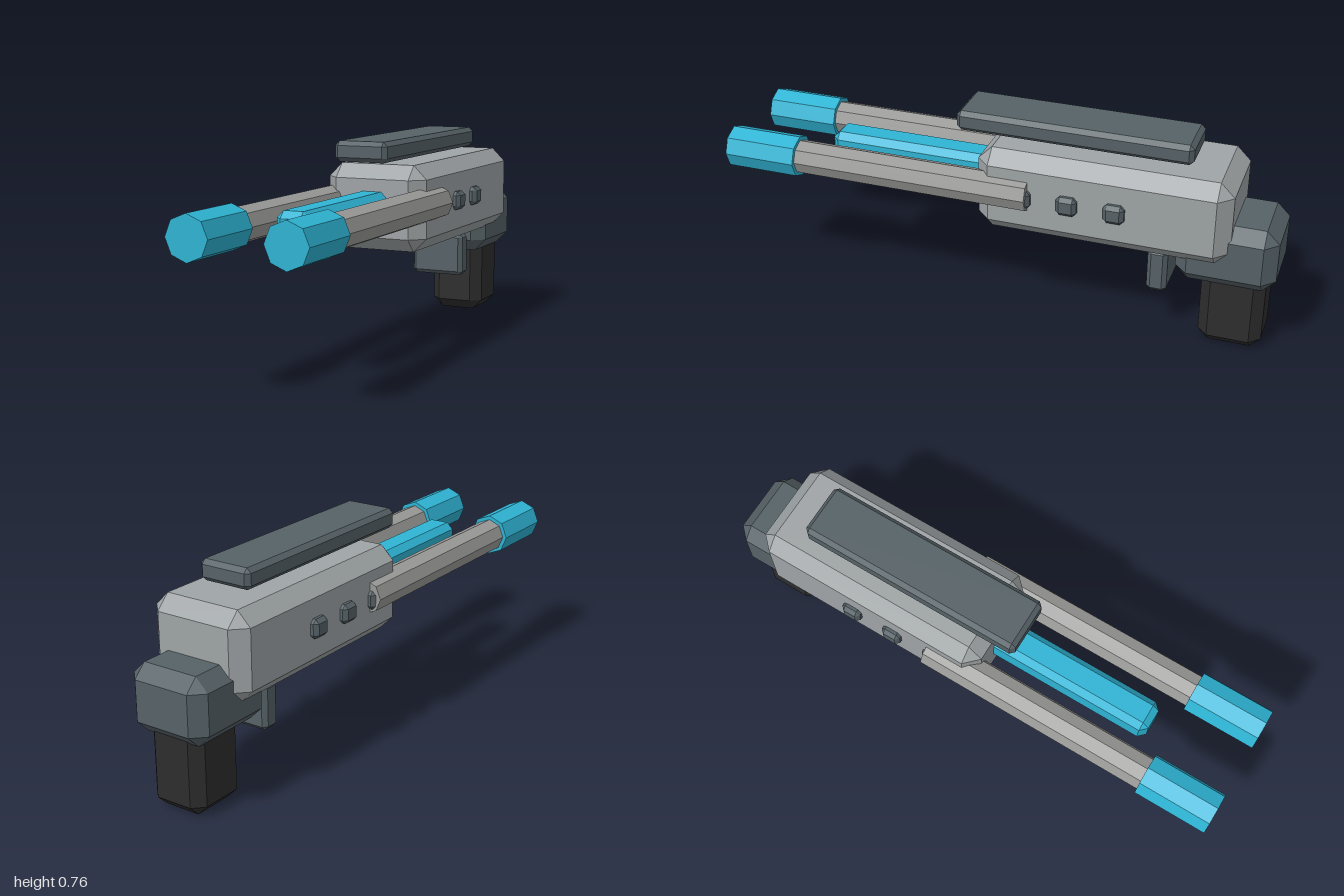
import * as THREE from 'three';
import { ConvexGeometry } from 'three/addons/geometries/ConvexGeometry.js';

const material = (name, color) => {
  const m = new THREE.MeshStandardMaterial({ color });
  m.name = name;
  return m;
};

// Box with every edge cut flat by the bevel, given by its min and max corners
function bevelBox(min, max, bevel) {
  const half = min.map((v, i) => (max[i] - v) / 2);
  const mid = min.map((v, i) => (max[i] + v) / 2);
  const points = [];
  for (const sx of [-1, 1]) for (const sy of [-1, 1]) for (const sz of [-1, 1]) {
    const s = [sx, sy, sz];
    for (let axis = 0; axis < 3; axis++) {
      points.push(new THREE.Vector3(...s.map((sign, i) =>
        mid[i] + sign * (i === axis ? half[i] : half[i] - bevel))));
    }
  }
  return new ConvexGeometry(points);
}

// Eight-sided rod along z
function rod(radius, z0, z1, x, y) {
  return new THREE.CylinderGeometry(radius, radius, z1 - z0, 8)
    .toNonIndexed()
    .rotateX(Math.PI / 2)
    .translate(x, y, (z0 + z1) / 2);
}

export function createModel() {
  const group = new THREE.Group();
  group.name = 'blaster';
  const lightGrey = material('light grey', 0x9fa4a6);
  const steel = material('steel grey', 0x9a9a99);
  const darkGrey = material('dark grey', 0x566267);
  const black = material('black', 0x2d2d2d);
  const blue = material('blue', 0x2eb4d4);
  for (const m of [lightGrey, steel, darkGrey, black, blue]) m.flatShading = true;

  const add = (name, geometry, mat) => {
    const mesh = new THREE.Mesh(geometry, mat);
    mesh.name = name;
    group.add(mesh);
  };

  // Main housing with the floating rail above
  add('body', bevelBox([-0.192, 0.358, -0.842], [0.192, 0.67, 0.058], 0.05), lightGrey);
  add('topRail', bevelBox([-0.101, 0.687, -0.687], [0.101, 0.761, 0.158], 0.016), darkGrey);

  // Energy core between the barrels
  add('core', bevelBox([-0.06, 0.454, -0.1], [0.06, 0.575, 0.664], 0.024), blue);

  // Rear block, grip and trigger
  add('rearBlock', bevelBox([-0.151, 0.26, -1], [0.151, 0.496, -0.65], 0.046), darkGrey);
  add('grip', bevelBox([-0.106, 0, -0.965], [0.106, 0.34, -0.74], 0.038), black);
  add('trigger', bevelBox([-0.105, 0.177, -0.621], [0.105, 0.344, -0.549], 0.015), darkGrey);

  // Barrels, muzzles and side studs, mirrored
  for (const [side, s] of [['left', 1], ['right', -1]]) {
    add(side + 'Barrel', rod(0.062, -0.137, 0.75, s * 0.173, 0.525), steel);
    add(side + 'Muzzle', rod(0.077, 0.733, 1, s * 0.173, 0.525), blue);
    [-0.113, -0.28, -0.447].forEach((z, i) => {
      add(side + 'Stud' + (i + 1), bevelBox(
        [s * 0.18 - 0.037, 0.482, z - 0.037], [s * 0.18 + 0.037, 0.551, z + 0.037], 0.014), darkGrey);
    });
  }
  return group;
}
